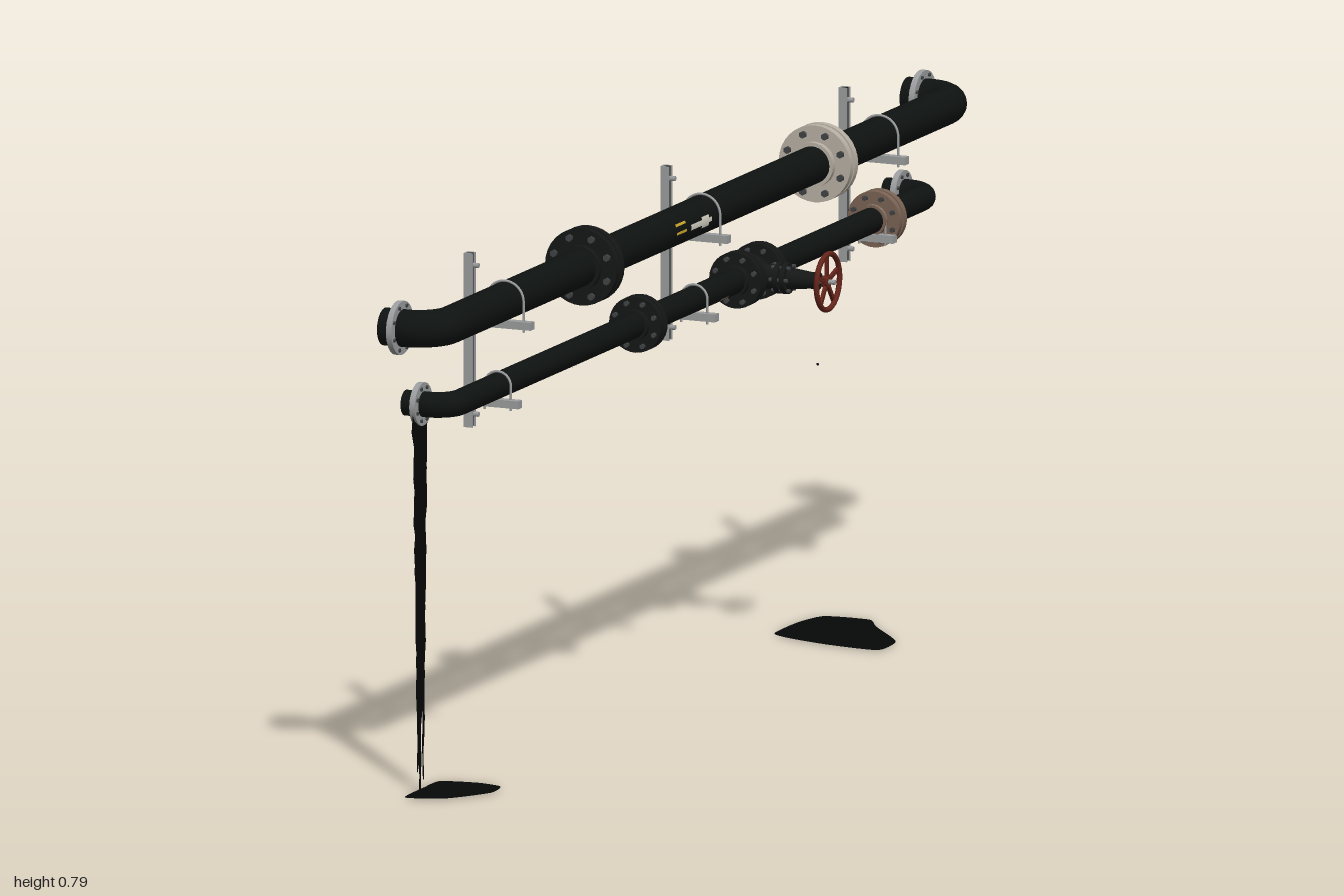
import * as THREE from 'three';

const mat = (name, color, side = THREE.FrontSide) => {
  const m = new THREE.MeshStandardMaterial({ color, side });
  m.name = name;
  return m;
};

export function createModel() {
  const root = new THREE.Group();
  root.name = 'pipeline';
  const M = {
    pipe: mat('black pipe', 0x0e1210),
    flange: mat('black iron', 0x151616),
    steel: mat('galvanised steel', 0x9c9d9e),
    pale: mat('pale flange', 0xb9b0a4),
    rust: mat('rusty flange', 0x7b6455),
    red: mat('red wheel', 0x64241a),
    yellow: mat('yellow label', 0xd2ac2c),
    white: mat('white label', 0xd9d4c6),
    oil: mat('oil', 0x060707, THREE.DoubleSide),
    bolt: mat('dark bolt', 0x414344),
  };

  const add = (parent, name, geo, material, x = 0, y = 0, z = 0) => {
    const m = new THREE.Mesh(geo, material);
    m.name = name;
    m.position.set(x, y, z);
    parent.add(m);
    return m;
  };
  const group = (name, x = 0, y = 0, z = 0) => {
    const g = new THREE.Group();
    g.name = name;
    g.position.set(x, y, z);
    root.add(g);
    return g;
  };
  const box = (w, h, d) => new THREE.BoxGeometry(w, h, d);
  // Cylinders lying along z and x; r1 is the radius at the positive end
  const cylZ = (r, len, n = 28) => new THREE.CylinderGeometry(r, r, len, n).rotateX(Math.PI / 2);
  const cylX = (r0, r1, len, n = 24) => new THREE.CylinderGeometry(r0, r1, len, n).rotateZ(Math.PI / 2);

  const WALL = -0.115;
  const upper = { x: -0.03, y: 0.723, r: 0.0285, end: 0.957, bend: 0.05, flange: 0.059, cap: 0.041 };
  const lower = { x: -0.042, y: 0.592, r: 0.0195, end: 0.88, bend: 0.036, flange: 0.043, cap: 0.033 };

  // Pipe run with an elbow, stub and collar at each end
  function pipeRun(name, p) {
    const g = group(name, 0, p.y, 0);
    add(g, 'straightPipe', cylZ(p.r, 2 * (p.end - p.bend)), M.pipe, p.x);
    for (const s of [1, -1]) {
      const ex = p.x - p.bend;
      add(g, 'elbow', new THREE.TorusGeometry(p.bend, p.r, 20, 12, Math.PI / 2).rotateX(s * Math.PI / 2),
        M.pipe, ex, 0, s * (p.end - p.bend));
      add(g, 'endStub', cylX(p.r, p.r, ex - WALL), M.pipe, (ex + WALL) / 2, 0, s * p.end);
      add(g, 'endCollar', cylX(p.cap, p.cap, 0.009, 28), M.steel, -0.09, 0, s * p.end);
      for (let i = 0; i < 8; i++) {
        const a = (i + 0.5) * Math.PI / 4, q = (p.cap + p.r) / 2;
        add(g, 'collarBolt', cylX(0.003, 0.003, 0.014, 6), M.bolt,
          -0.09, q * Math.sin(a), s * p.end + q * Math.cos(a));
      }
    }
  }
  pipeRun('upperPipe', upper);
  pipeRun('lowerPipe', lower);

  // Bolted pair of flange discs around a pipe
  function flangePair(name, p, z, material, boltMat, spread = 0.0085, t = 0.012) {
    const g = group(name, p.x, p.y, z);
    for (const s of [1, -1]) {
      add(g, 'flangeDisc', cylZ(p.flange, t, 32), material, 0, 0, s * spread);
      add(g, 'flangeNeck', cylZ(p.r * 1.2, 0.01), material, 0, 0, s * (spread + t / 2 + 0.004));
    }
    add(g, 'gasket', cylZ(p.flange * 0.8, spread * 2), M.flange);
    for (let i = 0; i < 8; i++) {
      const a = (i + 0.5) * Math.PI / 4, q = p.flange * 0.8;
      add(g, 'flangeBolt', cylZ(p.flange * 0.095, 2 * spread + t + 0.011, 6), boltMat,
        q * Math.cos(a), q * Math.sin(a));
    }
  }
  flangePair('frontUpperFlange', upper, 0.413, M.flange, M.bolt);
  flangePair('rearUpperFlange', upper, -0.443, M.pale, M.bolt);
  flangePair('frontLowerFlange', lower, 0.19, M.flange, M.bolt, 0.007, 0.01);
  flangePair('rearLowerFlange', lower, -0.685, M.rust, M.bolt, 0.008, 0.011);

  // Gate valve with bonnet, stem and handwheel
  const vz = -0.213;
  flangePair('valveFlangeFront', lower, vz + 0.038, M.flange, M.bolt, 0.006, 0.009);
  flangePair('valveFlangeRear', lower, vz - 0.038, M.flange, M.bolt, 0.006, 0.009);
  const v = group('valve', 0, lower.y, vz);
  add(v, 'valveBody', new THREE.SphereGeometry(0.032, 24, 16), M.flange, lower.x);
  add(v, 'valveNeck', cylX(0.019, 0.019, 0.05), M.flange, -0.012);
  for (const x of [0.011, 0.022]) add(v, 'bonnetFlange', cylX(0.024, 0.024, 0.008), M.flange, x);
  for (let i = 0; i < 6; i++) {
    const a = i * Math.PI / 3;
    add(v, 'bonnetBolt', cylX(0.003, 0.003, 0.03, 6), M.bolt, 0.016, 0.02 * Math.sin(a), 0.02 * Math.cos(a));
  }
  add(v, 'bonnet', cylX(0.011, 0.017, 0.05).rotateY(Math.PI), M.flange, 0.05);
  add(v, 'bonnetCap', cylX(0.013, 0.013, 0.012), M.flange, 0.069);
  add(v, 'stem', cylX(0.004, 0.004, 0.03, 12), M.steel, 0.086);
  add(v, 'wheelRim', new THREE.TorusGeometry(0.0425, 0.0042, 10, 36).rotateY(Math.PI / 2), M.red, 0.089);
  add(v, 'wheelHub', cylX(0.009, 0.009, 0.01, 16), M.red, 0.086);
  for (let i = 0; i < 5; i++) {
    const spoke = add(v, 'wheelSpoke', box(0.005, 0.04, 0.006).translate(0, 0.021, 0), M.red, 0.087);
    spoke.rotation.x = i * Math.PI * 2 / 5;
  }

  // Supports: open channel post, two arms and a U-bolt per pipe
  for (const z of [0.705, -0.015, -0.667]) {
    const g = group('support', 0, 0, z);
    const mid = 0.6585, h = 0.267;
    add(g, 'postBack', box(0.003, h, 0.014), M.steel, -0.0935, mid);
    for (const s of [1, -1]) add(g, 'postSide', box(0.014, h, 0.002), M.steel, -0.088, mid, s * 0.006);
    add(g, 'postInside', box(0.008, h - 0.002, 0.01), M.flange, -0.088, mid);
    for (const y of [0.773, 0.545]) add(g, 'postBolt', cylX(0.004, 0.004, 0.01, 6), M.steel, -0.078, y);
    for (const [p, tip] of [[upper, 0.015], [lower, -0.005]]) {
      const top = p.y - p.r - 0.001, len = tip + 0.095;
      add(g, 'arm', box(len, 0.012, 0.014), M.steel, tip - len / 2, top - 0.006);
      add(g, 'uBolt', new THREE.TorusGeometry(p.r + 0.002, 0.002, 8, 20, Math.PI), M.steel, p.x, p.y);
      for (const s of [1, -1]) {
        add(g, 'uBoltLeg', new THREE.CylinderGeometry(0.002, 0.002, p.r + 0.018, 8), M.steel,
          p.x + s * (p.r + 0.002), p.y - (p.r + 0.018) / 2);
      }
    }
  }

  // Thin curved plates on a pipe surface: angle 0 faces +x, negative is lower
  function patch(name, p, z, width, angle, arc, material) {
    const g = new THREE.CylinderGeometry(p.r + 0.0008, p.r + 0.0008, width, 8, 1, true,
      Math.PI / 2 - angle - arc / 2, arc).rotateX(-Math.PI / 2);
    add(root, name, g, material, p.x, p.y, z);
  }
  patch('yellowStripeTop', upper, 0.122, 0.036, 0.42, 0.14, M.yellow);
  patch('yellowStripeBottom', upper, 0.122, 0.036, -0.02, 0.14, M.yellow);
  patch('whiteLabel', upper, 0.068, 0.04, 0, 0.3, M.white);
  patch('whiteLabelHead', upper, 0.035, 0.026, 0, 0.6, M.white);
  patch('whiteLabelTip', upper, 0.017, 0.01, 0, 0.25, M.white);
  patch('rustStain', lower, -0.09, 0.03, -0.7, 0.3, M.rust);
  patch('rustStain', lower, 0.45, 0.05, -1.2, 0.3, M.rust);
  patch('rustStain', lower, -0.5, 0.07, -1.2, 0.3, M.rust);
  patch('rustStain', upper, -0.74, 0.07, -1.2, 0.3, M.rust);

  // Flat oil sheets; outlines given as [x, z]
  function puddle(name, pts) {
    const curve = new THREE.CatmullRomCurve3(pts.map(([x, z]) => new THREE.Vector3(x, -z, 0)), true, 'catmullrom', 0.3);
    const shape = new THREE.Shape(curve.getPoints(60).map((q) => new THREE.Vector2(q.x, q.y)));
    add(root, name, new THREE.ShapeGeometry(shape).rotateX(-Math.PI / 2), M.oil, 0, 0.002, 0);
  }
  puddle('frontPuddle', [[-0.085, 0.95], [-0.09, 0.87], [-0.088, 0.815], [-0.03, 0.803], [0.012, 0.815], [0.018, 0.865], [-0.025, 0.93]]);
  puddle('rearPuddle', [[-0.088, -0.41], [-0.09, -0.5], [-0.073, -0.56], [0.0, -0.563], [0.03, -0.52],
    [0.103, -0.43], [0.106, -0.358], [0.02, -0.365], [-0.05, -0.385]]);

  // Falling oil: ragged flat strands, each [z top, z bottom, top width, bottom width, lowest y]
  const strands = [[0.885, 0.884, 0.05, 0.006, 0.0], [0.894, 0.892, 0.03, 0.004, 0.03],
    [0.873, 0.874, 0.028, 0.004, 0.015], [0.884, 0.88, 0.042, 0.016, 0.16]];
  strands.forEach(([z0, z1, w0, w1, low], k) => {
    const left = [], right = [];
    for (let i = 0; i <= 24; i++) {
      const t = i / 24, y = 0.578 + (low - 0.578) * t;
      const c = z0 + (z1 - z0) * t + 0.0015 * Math.sin(i * 1.3 + k * 2);
      const w = (w0 + (w1 - w0) * t) / 2 * (1 + 0.18 * Math.sin(i * 2.1 + k));
      left.push(new THREE.Vector2(-(c - w), y));
      right.unshift(new THREE.Vector2(-(c + w), y));
    }
    add(root, 'oilStream', new THREE.ShapeGeometry(new THREE.Shape([...left, ...right])).rotateY(Math.PI / 2),
      M.oil, -0.09 + k * 0.0006);
  });
  add(root, 'oilDrop', new THREE.SphereGeometry(0.002, 8, 6), M.oil, -0.03, 0.414, -0.44);

  return root;
}
